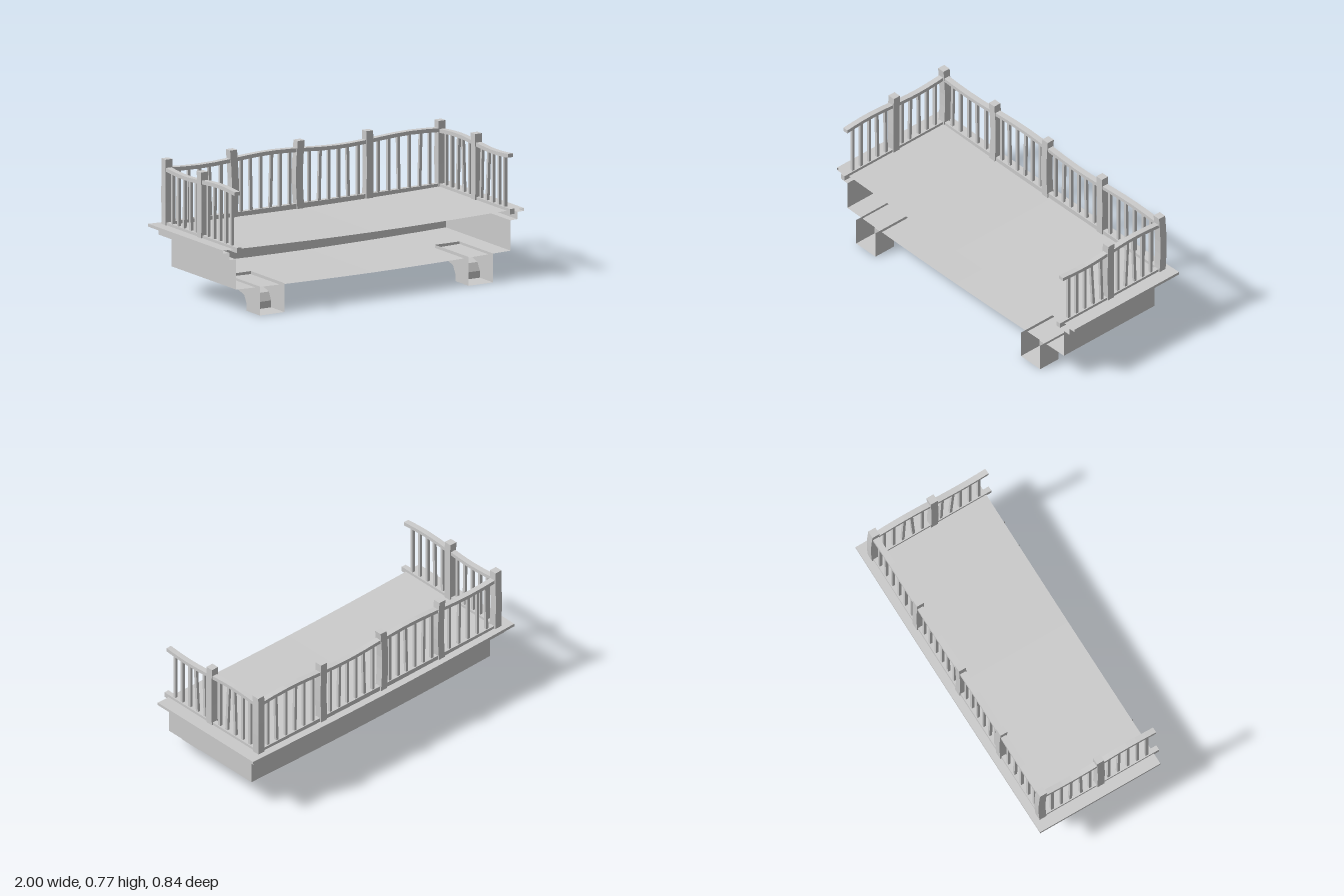
import * as THREE from 'three';

const mat = new THREE.MeshStandardMaterial({ color: 0xcccccc, flatShading: true, side: THREE.DoubleSide });
const FRONT = 0.372;
const sag = x => -0.015 * Math.max(0, Math.cos(x * Math.PI / 2));

function add(parent, name, geometry) {
  const mesh = new THREE.Mesh(geometry, mat);
  mesh.name = name;
  parent.add(mesh);
  return mesh;
}

function fromQuads(quads) {
  const pos = [];
  for (const [a, b, c, d] of quads) pos.push(...a, ...b, ...c, ...a, ...c, ...d);
  const g = new THREE.BufferGeometry();
  g.setAttribute('position', new THREE.Float32BufferAttribute(pos, 3));
  g.computeVertexNormals();
  return g;
}

// Box spanning two corners, its vertices shifted by warp(x, y, z) => [dx, dy, dz]
function warpedBox(min, max, segs, warp) {
  const s = max.map((v, i) => v - min[i]);
  const g = new THREE.BoxGeometry(...s, ...segs);
  g.translate(...min.map((v, i) => v + s[i] / 2));
  const p = g.attributes.position;
  if (warp) {
    for (let i = 0; i < p.count; i++) {
      const v = [p.getX(i), p.getY(i), p.getZ(i)];
      const d = warp(...v);
      p.setXYZ(i, v[0] + d[0], v[1] + d[1], v[2] + d[2]);
    }
    g.computeVertexNormals();
  }
  return g;
}

// Stepped, sagging platform shell, open towards the wall at the front
function platform() {
  const N = 10;
  const levels = [ // half width, back z, height
    [1, -0.42, 0.392], [1, -0.42, 0.375],
    [0.957, -0.38, 0.375], [0.957, -0.38, 0.333],
    [0.912, -0.312, 0.333], [0.912, -0.312, 0.158],
  ];
  const edge = ([w, , y], z) => Array.from({ length: N + 1 }, (_, i) => {
    const x = w * (2 * i / N - 1);
    return [x, y + sag(x), z];
  });
  const quads = [];
  const loops = levels.map(l => {
    const front = edge(l, FRONT);
    return [front[0], ...edge(l, l[1]), front[N]];
  });
  for (let k = 0; k < loops.length - 1; k++) {
    const a = loops[k], b = loops[k + 1];
    for (let i = 0; i < a.length - 1; i++) quads.push([a[i], a[i + 1], b[i + 1], b[i]]);
  }
  const top = levels[0], bottom = levels[levels.length - 1];
  const tf = edge(top, FRONT), tb = edge(top, top[1]);
  const bf = edge(bottom, FRONT), bb = edge(bottom, bottom[1]);
  for (let i = 0; i < N; i++) {
    quads.push([tf[i], tf[i + 1], tb[i + 1], tb[i]]);
    quads.push([bb[i], bb[i + 1], bf[i + 1], bf[i]]);
  }
  return fromQuads(quads);
}

// Hollow bracket, open at its top and front
function bracket(x0, x1) {
  const group = new THREE.Group();
  group.name = 'bracket';
  const profile = [[0.42, 0], [0.28, 0], [0.28, 0.04], [0.255, 0.086], [0.19, 0.106], [0.064, 0.106], [0.064, 0.167]];
  const quads = [];
  for (let i = 0; i < profile.length - 1; i++) {
    const [za, ya] = profile[i], [zb, yb] = profile[i + 1];
    quads.push([[x0, ya, za], [x0, yb, zb], [x1, yb, zb], [x1, ya, za]]);
  }
  add(group, 'bracketUnderside', fromQuads(quads));
  const outline = [...profile, [0.42, 0.167]].map(([z, y]) => new THREE.Vector2(-z, y));
  for (const x of [x0, x1]) {
    const side = add(group, 'bracketSide', new THREE.ShapeGeometry(new THREE.Shape(outline)));
    side.rotation.y = Math.PI / 2;
    side.position.x = x;
  }
  return group;
}

// Slightly bowed square post
function post(parent, x, z, bowX, bowZ) {
  const h = 0.023, y0 = 0.35, y1 = 0.77;
  add(parent, 'post', warpedBox([x - h, y0, z - h], [x + h, y1, z + h], [1, 5, 1], (_, y) => {
    const b = Math.sin(Math.PI * (y - y0) / (y1 - y0));
    return [bowX * b, 0, bowZ * b];
  }));
}

// Thin baluster whose top may lean and which follows the handrail height
function baluster(parent, x, z, top, leanX, leanZ) {
  const h = 0.0085;
  add(parent, 'baluster', warpedBox([x - h, 0.395, z - h], [x + h, top, z + h], [1, 1, 1],
    (_, y) => (y > 0.5 ? [leanX, 0, leanZ] : [0, 0, 0])));
}

export function createModel() {
  const model = new THREE.Group();
  model.name = 'balcony';

  add(model, 'platform', platform());
  model.add(bracket(-0.785, -0.622), bracket(0.603, 0.765));

  // Back railing
  const back = new THREE.Group();
  back.name = 'backRailing';
  model.add(back);
  const zBack = -0.359;
  const waveX = x => 0.712 - 0.011 * Math.sin((x + 0.93) * Math.PI * 2 / 0.93);
  add(back, 'handrail', warpedBox([-0.91, -0.011, zBack - 0.018], [0.9, 0.011, zBack + 0.018], [18, 1, 1],
    x => [0, waveX(x), 0]));
  add(back, 'bottomRail', warpedBox([-0.91, 0.375, zBack - 0.015], [0.9, 0.406, zBack + 0.015], [1, 1, 1]));
  const postX = [-0.913, -0.485, -0.035, 0.42, 0.902];
  const bowX = [0.004, 0.012, -0.012, 0.004, 0.004];
  postX.forEach((x, i) => post(back, x, zBack, bowX[i], i % 4 ? 0 : -0.008));
  [5, 6, 6, 6].forEach((n, s) => {
    for (let i = 1; i <= n; i++) {
      const x = THREE.MathUtils.lerp(postX[s], postX[s + 1], i / (n + 1));
      const lean = [0, 0.008, 0, 0, -0.006][(i + s * 2) % 5];
      baluster(back, x, zBack, waveX(x), lean, 0);
    }
  });

  // Side railings, with opposite waves in their handrails
  for (const [name, x, zPost, dir] of [['rightRailing', -0.914, 0.016, 1], ['leftRailing', 0.902, 0.025, -1]]) {
    const side = new THREE.Group();
    side.name = name;
    model.add(side);
    const waveZ = z => 0.711 + dir * 0.011 * Math.sin((z - 0.03) * Math.PI / 0.37);
    add(side, 'handrail', warpedBox([x - 0.017, -0.011, -0.345], [x + 0.017, 0.011, 0.386], [1, 1, 12],
      (_, y, z) => [0, waveZ(z), 0]));
    add(side, 'bottomRail', warpedBox([x - 0.015, 0.375, -0.345], [x + 0.015, 0.406, 0.406], [1, 1, 1]));
    post(side, x, zPost, 0, 0.005);
    // Baluster position and lean along z
    const balusters = [[0.331, 0], [0.27, 0], [0.207, 0], [0.143, 0.018], [0.08, 0.01],
      [-0.042, 0], [-0.1, -0.016], [-0.171, 0.012], [-0.23, 0], [-0.292, 0]];
    for (const [z, lean] of balusters) baluster(side, x, z, waveZ(z), 0, dir < 0 ? lean : lean * 0.4);
  }
  return model;
}
